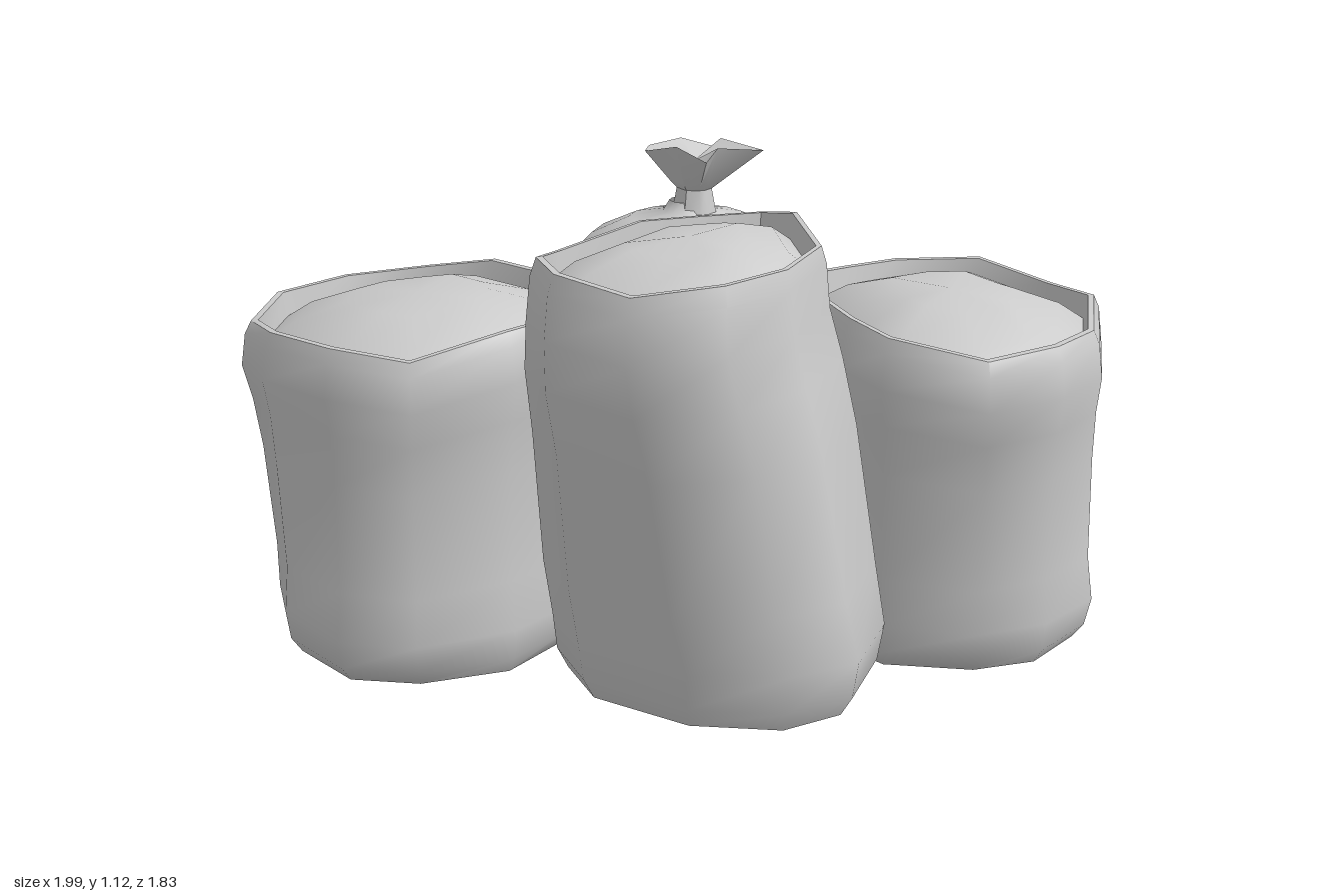
import * as THREE from 'three';
import { mergeVertices, toCreasedNormals } from 'three/addons/utils/BufferGeometryUtils.js';

const material = new THREE.MeshStandardMaterial({ color: 0xcccccc, side: THREE.DoubleSide });

// Skin through rings of equal point count, ordered bottom to top
function loft(rings, crease = 1) {
  const pos = [];
  const tri = (a, b, c) => {
    if (a.distanceTo(b) > 1e-5 && b.distanceTo(c) > 1e-5 && c.distanceTo(a) > 1e-5)
      pos.push(...a.toArray(), ...b.toArray(), ...c.toArray());
  };
  for (let i = 0; i < rings.length - 1; i++) {
    const lo = rings[i], hi = rings[i + 1], n = lo.length;
    for (let j = 0; j < n; j++) {
      const k = (j + 1) % n;
      tri(lo[j], hi[j], lo[k]);
      tri(lo[k], hi[j], hi[k]);
    }
  }
  const geo = new THREE.BufferGeometry();
  geo.setAttribute('position', new THREE.Float32BufferAttribute(pos, 3));
  geo.computeVertexNormals();
  return toCreasedNormals(geo, crease);
}

function add(parent, name, geo) {
  const mesh = new THREE.Mesh(geo, material);
  mesh.name = name;
  parent.add(mesh);
}

const FLOOR = 0.07;

// Open sack: elliptical foot blending into a drawn mouth outline
function openSack(name, mouth, foot, rimY, tilt, pinch, dome) {
  const xs = mouth.map(p => p[0]), zs = mouth.map(p => p[1]);
  const cx = (Math.min(...xs) + Math.max(...xs)) / 2, hx = (Math.max(...xs) - Math.min(...xs)) / 2;
  const cz = (Math.min(...zs) + Math.max(...zs)) / 2, hz = (Math.max(...zs) - Math.min(...zs)) / 2;

  const ring = (level, blend, scale, lift = 0) => mouth.map(([x, z], j) => {
    const a = Math.atan2((z - cz) / hz, (x - cx) / hx);
    const wobble = 1 + 0.02 * Math.sin(j * 2.4 + level * 5) * (1 - blend);
    const bx = foot.x + foot.rx * Math.cos(a) * scale * wobble;
    const bz = foot.z + foot.rz * Math.sin(a) * scale * wobble;
    const tx = cx + (x - cx) * scale, tz = cz + (z - cz) * scale;
    const top = rimY + tilt[0] * (tx - cx) + tilt[1] * (tz - cz) + 0.014 * scale * Math.sin(j * 2.3);
    return new THREE.Vector3(
      THREE.MathUtils.lerp(bx, tx, blend),
      FLOOR + (top - FLOOR) * level + lift,
      THREE.MathUtils.lerp(bz, tz, blend));
  });

  const group = new THREE.Group();
  group.name = name;
  add(group, 'sackCloth', loft([
    ring(0, 0, 0), ring(0, 0, 0.9), ring(0.05, 0, 0.97), ring(0.14, 0, 1),
    ring(0.28, 0.25, pinch), ring(0.6, 0.6, pinch), ring(0.75, 0.85, pinch + 0.01),
    ring(0.86, 1, 1), ring(0.96, 1, 0.97), ring(1, 1, 0.93), ring(1, 1, 0.89), ring(1, 1, 0.86, -0.08),
  ]));
  // Domed contents
  add(group, 'sackFilling', loft([
    ring(1, 1, 0.87, -0.055), ring(1, 1, 0.7, -0.015), ring(1, 1, 0.4, dome * 0.8), ring(1, 1, 0, dome),
  ], 1.2));
  return group;
}

// Closed sack with a tied neck and a ragged tuft
function tiedSack() {
  const cx = -0.015, cz = -0.04, sides = 14;
  const circle = (y, r) => Array.from({ length: sides }, (_, j) => {
    const a = j / sides * Math.PI * 2;
    const k = r * (1 + 0.025 * Math.sin(j * 2.6 + y * 4));
    return new THREE.Vector3(cx + k * Math.cos(a), y, cz + k * Math.sin(a));
  });
  const group = new THREE.Group();
  group.name = 'tiedSack';
  add(group, 'tiedSackBody', loft([
    [FLOOR, 0], [FLOOR, 0.3], [0.11, 0.335], [0.18, 0.345], [0.35, 0.33], [0.6, 0.335],
    [0.75, 0.335], [0.84, 0.3], [0.91, 0.23], [0.95, 0.14], [0.965, 0.06], [0.99, 0.045],
  ].map(([y, r]) => circle(y, r))));

  // Rings of the tuft blend from a round neck to a star
  const star = [[0.16, -0.08], [0.08, 0], [0.07, 0.04], [0, 0.055], [-0.11, 0.0],
    [-0.115, -0.03], [-0.06, -0.09], [-0.015, -0.17], [0.04, -0.1]];
  const tuft = (y, s, wave, round) => star.map(([x, z], j) => {
    const a = Math.atan2(z + 0.04, x);
    return new THREE.Vector3(
      x * s + round * Math.cos(a), y + wave * Math.sin(j * 2.5), -0.04 + (z + 0.04) * s + round * Math.sin(a));
  });
  add(group, 'sackTuft', loft([
    tuft(0.95, 0, 0, 0.055), tuft(1.02, 0, 0, 0.042), tuft(1.035, 0.1, 0, 0.045),
    tuft(1.115, 1, 0.018, 0), tuft(1.085, 0, 0, 0),
  ], 0.7));
  return group;
}

// Soft bundle with a waist and a shallow lengthwise groove under crossed cords
function bundle(name, centre, along, up, [a, b, c]) {
  const n = 2.8;
  const surface = d => {
    const flat = (Math.abs(d.x / a) ** n + Math.abs(d.z / b) ** n) ** (2 / n);
    const r = (flat + (d.y / c) ** 2) ** -0.5;
    const pinch = Math.max(0.2 * Math.exp(-((d.x / 0.25) ** 2)), 0.1 * Math.exp(-((d.z / 0.2) ** 2)));
    return d.clone().multiplyScalar(r * (1 - pinch));
  };

  let geo = new THREE.SphereGeometry(1, 36, 24);
  geo.deleteAttribute('uv');
  geo.deleteAttribute('normal');
  geo = mergeVertices(geo, 1e-4);
  const p = geo.attributes.position, v = new THREE.Vector3();
  for (let i = 0; i < p.count; i++) {
    const s = surface(v.fromBufferAttribute(p, i).normalize());
    p.setXYZ(i, s.x, s.y, s.z);
  }
  geo.computeVertexNormals();

  const group = new THREE.Group();
  group.name = name;
  add(group, 'bundleCloth', geo);

  // Cords follow the pinched surface
  const cord = toDirection => {
    const pts = Array.from({ length: 28 }, (_, i) => {
      const t = i / 28 * Math.PI * 2;
      const d = toDirection(Math.cos(t), Math.sin(t));
      return surface(d).addScaledVector(d, 0.008);
    });
    return new THREE.TubeGeometry(new THREE.CatmullRomCurve3(pts, true), 56, 0.018, 7, true);
  };
  add(group, 'crossCord', cord((s, t) => new THREE.Vector3(0, s, t)));
  add(group, 'longCord', cord((s, t) => new THREE.Vector3(s, t, 0)));

  const x = new THREE.Vector3(...along).normalize();
  const z = x.clone().cross(new THREE.Vector3(...up)).normalize();
  const y = z.clone().cross(x);
  group.quaternion.setFromRotationMatrix(new THREE.Matrix4().makeBasis(x, y, z));
  group.position.set(...centre);
  return group;
}

export function createModel() {
  const model = new THREE.Group();
  model.name = 'sackPile';

  model.add(openSack('tallSack',
    [[0.53, 0.6], [0.48, 0.8], [0.3, 0.87], [0.1, 0.83], [-0.02, 0.7], [-0.04, 0.58],
      [0.05, 0.35], [0.13, 0.18], [0.25, 0.09], [0.36, 0.15], [0.5, 0.34]],
    { x: 0.305, z: 0.48, rx: 0.38, rz: 0.3 }, 1.015, [0.02, -0.02], 1.02, 0.02));

  model.add(openSack('rightFrontSack',
    [[-0.01, 0.52], [-0.06, 0.68], [-0.2, 0.86], [-0.4, 0.88], [-0.62, 0.81], [-0.76, 0.71],
      [-0.79, 0.57], [-0.75, 0.35], [-0.58, 0.22], [-0.4, 0.19], [-0.17, 0.21], [-0.06, 0.35]],
    { x: -0.38, z: 0.55, rx: 0.35, rz: 0.36 }, 0.825, [0.04, -0.07], 0.96, 0.03));

  model.add(openSack('leftSack',
    [[1.0, 0], [0.97, 0.2], [0.85, 0.33], [0.63, 0.37], [0.5, 0.27], [0.36, 0.11],
      [0.3, -0.01], [0.32, -0.16], [0.4, -0.31], [0.6, -0.4], [0.8, -0.37], [0.93, -0.28]],
    { x: 0.65, z: -0.03, rx: 0.355, rz: 0.365 }, 0.825, [-0.07, -0.01], 0.965, 0.03));

  model.add(tiedSack());

  // Bundles behind: one lying flat, one leaning
  model.add(bundle('lyingBundle', [-0.55, 0.31, -0.25], [0.54, 0, -0.84], [0, 1, 0], [0.455, 0.365, 0.28]));
  model.add(bundle('leaningBundle', [0.46, 0.38, -0.56], [0.2, 0.5, 0.42], [-0.03, 0.6, -0.72], [0.41, 0.36, 0.3]));
  return model;
}
